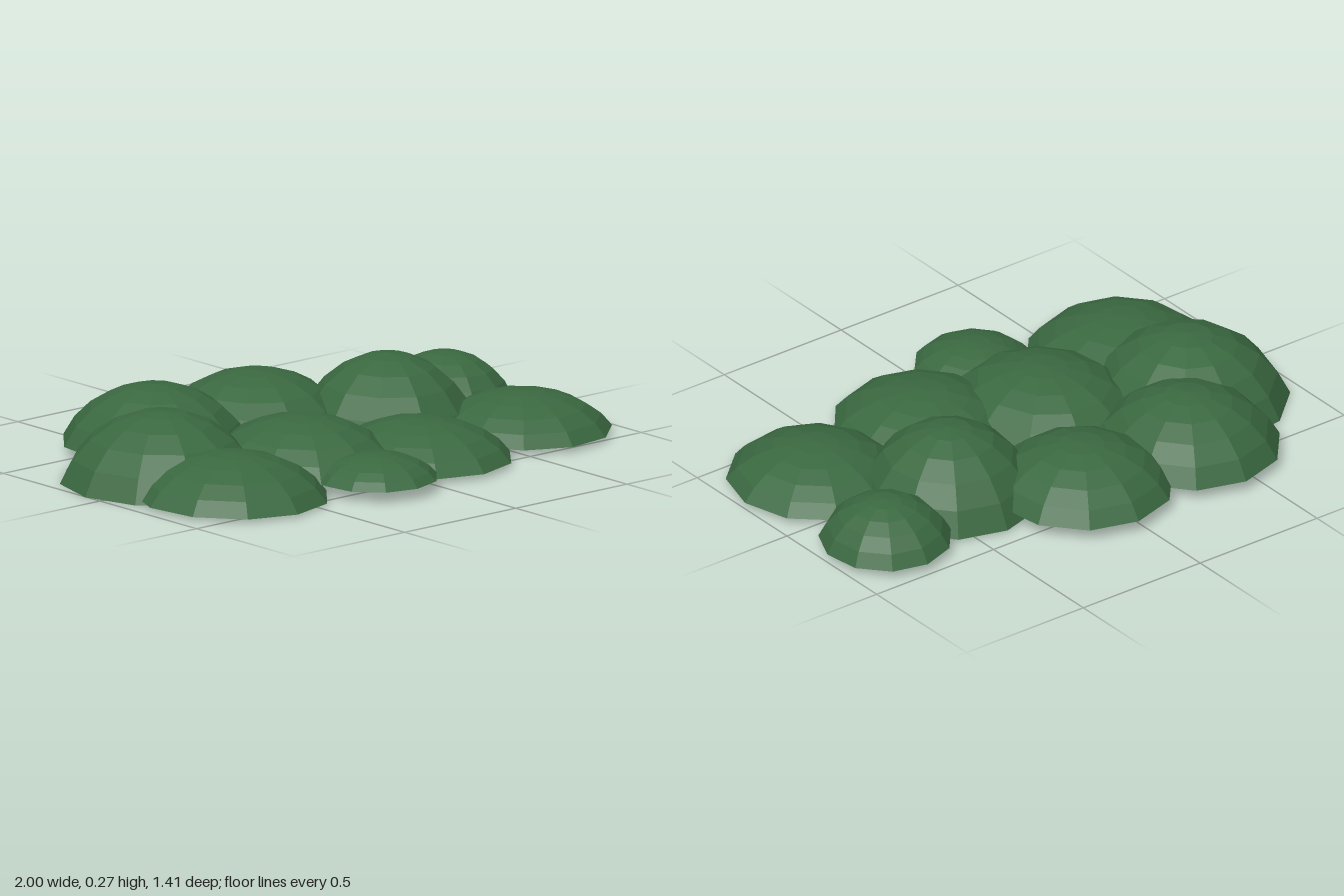
import * as THREE from 'three';

// Open low-poly dome: a spherical cap of unit radius and unit height, rim at y = 0
function domeGeometry(phase) {
  const sweep = THREE.MathUtils.degToRad(68);
  const rings = 5;
  const profile = [];
  for (let i = 0; i <= rings; i++) {
    const a = sweep * (1 - i / rings);
    const r = i === rings ? 0 : Math.sin(a) / Math.sin(sweep);
    profile.push(new THREE.Vector2(r, (Math.cos(a) - Math.cos(sweep)) / (1 - Math.cos(sweep))));
  }
  return new THREE.LatheGeometry(profile, 11, phase);
}

export function createModel() {
  const group = new THREE.Group();
  group.name = 'leafCanopy';

  const leaf = new THREE.MeshStandardMaterial({ color: 0x3a6840 });
  leaf.name = 'leafGreen';
  leaf.flatShading = true;
  leaf.side = THREE.DoubleSide;

  // Direction of the first rim corner, measured from +z towards +x
  const FRONT = 0, RIGHT = Math.PI / 2, BACK = Math.PI, LEFT = -Math.PI / 2;

  // name, x, z, radius x, radius z, rim y, top y, phase, tilt x, tilt z
  const domes = [
    ['leftDome', -0.66, -0.07, 0.345, 0.36, 0.015, 0.262, LEFT, 0, 0],
    ['frontLeftDome', -0.64, 0.27, 0.33, 0.34, 0.025, 0.178, FRONT, 0, -0.01],
    ['backLeftDome', -0.42, -0.38, 0.32, 0.33, 0.055, 0.255, BACK, 0, 0],
    ['backDome', 0.04, -0.39, 0.315, 0.32, 0.06, 0.226, BACK, 0, 0],
    ['rightDome', 0.39, -0.11, 0.315, 0.325, 0.018, 0.28, BACK, 0.01, 0],
    ['smallBackRightDome', 0.77, -0.25, 0.225, 0.235, 0.045, 0.195, BACK, 0, -0.03],
    ['frontRightDome', 0.69, 0.24, 0.305, 0.315, 0.033, 0.166, RIGHT, 0, 0],
    ['frontDome', 0.18, 0.3, 0.31, 0.33, 0.032, 0.166, FRONT, 0, 0],
    ['smallFrontDome', -0.18, 0.49, 0.21, 0.21, 0.055, 0.14, FRONT, 0, 0.01],
    ['centreDome', -0.2, 0.13, 0.32, 0.35, 0.045, 0.205, FRONT, 0, 0],
  ];

  for (const [name, x, z, rx, rz, rim, top, phase, tiltX, tiltZ] of domes) {
    const dome = new THREE.Mesh(domeGeometry(phase), leaf);
    dome.name = name;
    dome.scale.set(rx, top - rim, rz);
    dome.rotation.set(tiltX, 0, tiltZ);
    dome.position.set(x, rim, z);
    group.add(dome);
  }
  return group;
}
